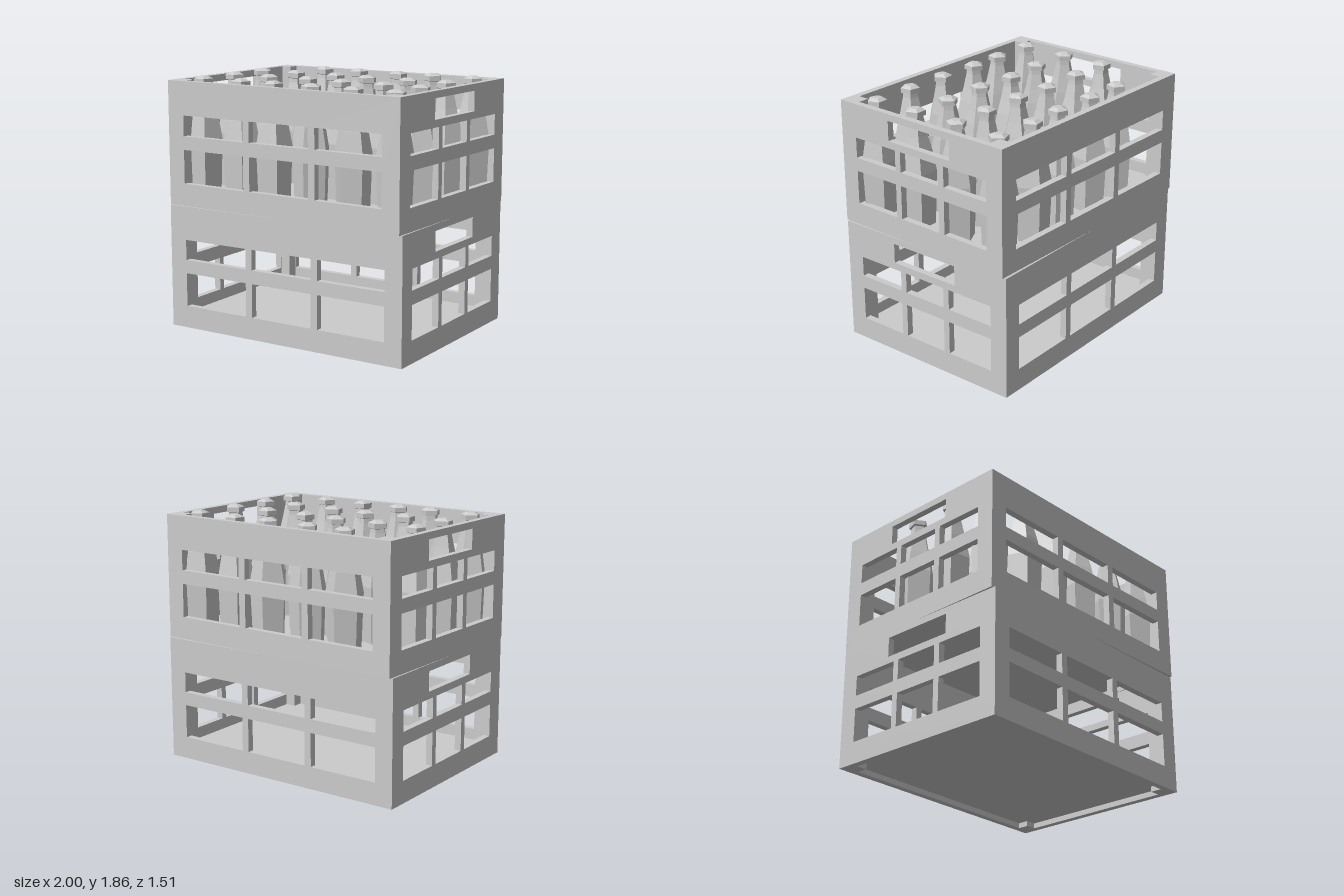
import * as THREE from 'three';

const W = 1.97, D = 1.47, H = 0.917, T = 0.05;

// x, z and turn (degrees) of each bottle, row by row from the back
const BOTTLES = [
  [[-0.48, -0.57, 53], [-0.165, -0.565, 45], [0.19, -0.55, 38], [0.49, -0.56, 10], [0.83, -0.55, 70]],
  [[-0.81, -0.2, 18], [-0.5, -0.195, 41], [-0.145, -0.2, 47], [0.155, -0.17, 16], [0.5, -0.17, 16], [0.81, -0.17, 64]],
  [[-0.815, 0.15, 64], [-0.49, 0.165, 69], [-0.165, 0.145, 36], [0.15, 0.175, 59], [0.5, 0.175, 63], [0.81, 0.2, 18]],
  [[-0.825, 0.52, 52], [-0.48, 0.53, 52], [-0.2, 0.53, 44], [0.14, 0.545, 11], [0.48, 0.55, 29], [0.82, 0.55, 18]],
];

function rect(target, x0, y0, x1, y1) {
  target.moveTo(x0, y0);
  target.lineTo(x1, y0);
  target.lineTo(x1, y1);
  target.lineTo(x0, y1);
  target.closePath();
  return target;
}

// Wall panel with two rows of three windows, and an optional hand hole
function wallGeometry(length, mid, inner, outer, handle) {
  const shape = rect(new THREE.Shape(), -length / 2, 0, length / 2, H);
  for (const [y0, y1] of [[0.165, 0.415], [0.515, 0.667]]) {
    for (const [x0, x1] of [[-outer, -inner], [-mid, mid], [inner, outer]]) {
      shape.holes.push(rect(new THREE.Path(), x0, y0, x1, y1));
    }
  }
  if (handle) shape.holes.push(rect(new THREE.Path(), -0.28, 0.72, 0.28, 0.867));
  const geo = new THREE.ExtrudeGeometry(shape, { depth: T, bevelEnabled: false });
  return geo.translate(0, 0, -T / 2);
}

export function createModel() {
  const model = new THREE.Group();
  model.name = 'stackedBottleCrates';
  const grey = new THREE.MeshStandardMaterial({ color: 0xcccccc, flatShading: true });
  grey.name = 'light grey';

  const add = (parent, name, geo, x, y, z, turn = 0) => {
    const mesh = new THREE.Mesh(geo, grey);
    mesh.name = name;
    mesh.position.set(x, y, z);
    mesh.rotation.y = turn;
    parent.add(mesh);
    return mesh;
  };

  const longWall = wallGeometry(W, 0.253, 0.307, 0.847, false);
  const shortWall = wallGeometry(D - 2 * T, 0.175, 0.223, 0.6, true);
  const post = new THREE.BoxGeometry(0.083, H, 0.083);
  const floor = new THREE.BoxGeometry(W - 2 * T, 0.04, D - 2 * T);

  // One open crate: four walls, corner posts and a raised floor
  function crate(name) {
    const group = new THREE.Group();
    group.name = name;
    for (const s of [1, -1]) {
      add(group, s > 0 ? 'frontWall' : 'backWall', longWall, 0, 0, s * (D - T) / 2);
      add(group, s > 0 ? 'leftWall' : 'rightWall', shortWall, s * (W - T) / 2, 0, 0, Math.PI / 2);
      for (const t of [1, -1]) {
        add(group, 'cornerPost', post, s * (W / 2 - T - 0.0415), H / 2, t * (D / 2 - T - 0.0415));
      }
    }
    add(group, 'floor', floor, 0, 0.06, 0);
    model.add(group);
    return group;
  }

  crate('lowerCrate');
  const upper = crate('upperCrate');
  upper.position.y = H;
  upper.rotation.y = -0.0204;

  // Five-sided bottles with a swelling body, a long neck and a cap
  const profile = [
    [0, 0.98], [0.122, 0.98], [0.138, 1.4], [0.108, 1.56], [0.082, 1.66], [0.058, 1.77],
    [0.055, 1.8], [0.072, 1.805], [0.072, 1.84], [0.035, 1.857], [0, 1.857],
  ].map(([r, y]) => new THREE.Vector2(r, y));
  const bottle = new THREE.LatheGeometry(profile, 5);
  const bottles = new THREE.Group();
  bottles.name = 'bottles';
  for (const row of BOTTLES) {
    for (const [x, z, a] of row) {
      add(bottles, 'bottle', bottle, x, 0, z, THREE.MathUtils.degToRad(18 - a));
    }
  }
  model.add(bottles);
  return model;
}
